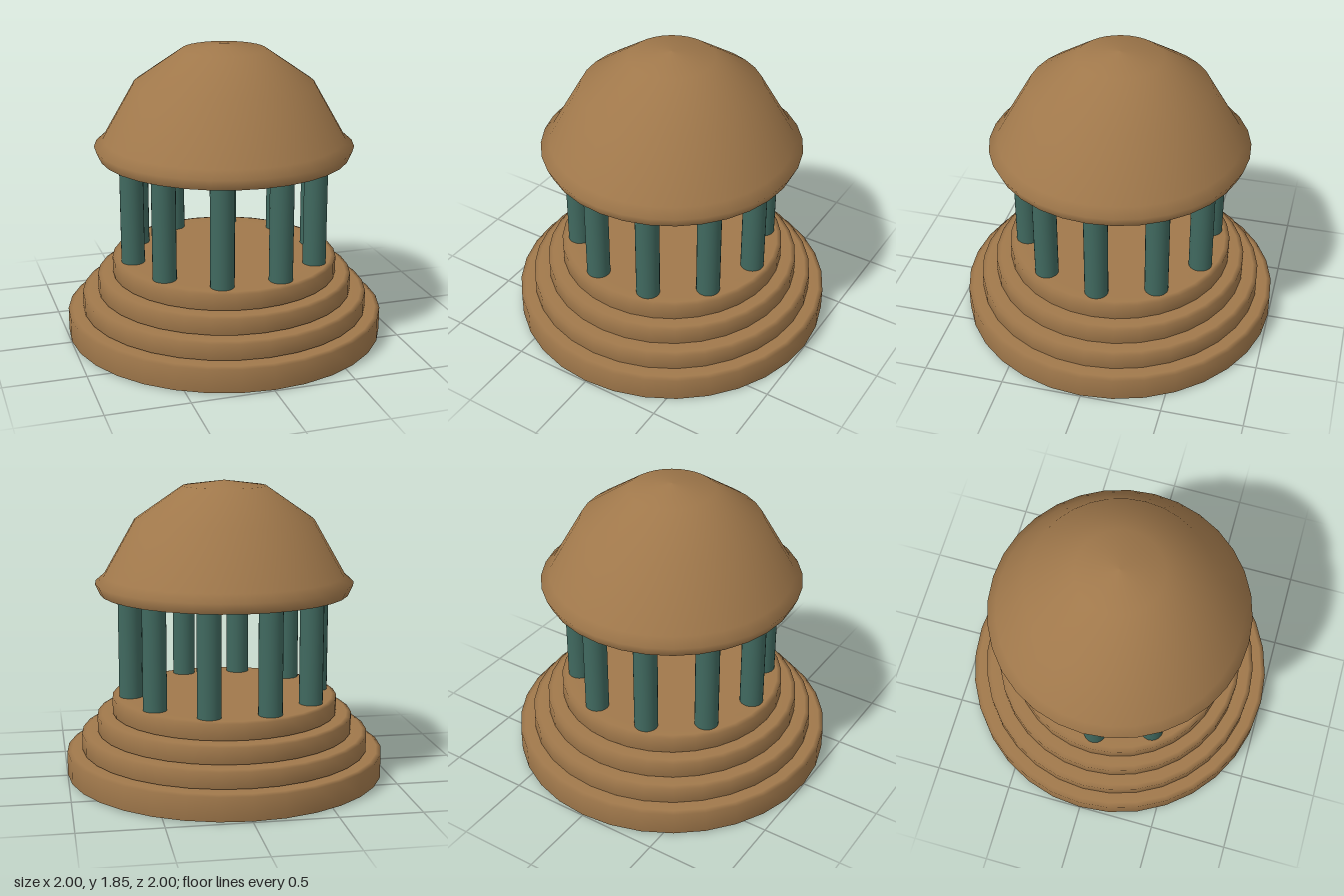
import * as THREE from 'three';

const SIDES = 32;

export function createModel() {
  const model = new THREE.Group();
  model.name = 'pavilion';
  const stone = new THREE.MeshStandardMaterial({ name: 'tan stone', color: 0xa0784b });
  const green = new THREE.MeshStandardMaterial({ name: 'dark green', color: 0x40695f });

  // Adds a round part from a profile of [radius, height] points, bottom to top
  const turn = (name, points, parent) => {
    const profile = points.map(([r, y]) => new THREE.Vector2(r, y));
    const mesh = new THREE.Mesh(new THREE.LatheGeometry(profile, SIDES), stone);
    mesh.name = name;
    parent.add(mesh);
  };

  // Stepped base: four round tiers with softened edges
  const base = new THREE.Group();
  base.name = 'steppedBase';
  model.add(base);
  const tiers = [[1, 0, 0.16], [0.905, 0.16, 0.273], [0.806, 0.273, 0.387], [0.71, 0.387, 0.5]];
  tiers.forEach(([r, y0, y1], i) => {
    turn(`tier${i + 1}`, [
      [r - 0.02, y0], [r, y0 + 0.006], [r, y1 - 0.008], [r - 0.03, y1], [r - 0.12, y1],
    ], base);
  });
  turn('underside', [[0, 0], [0.98, 0]], base);
  turn('floor', [[0.59, 0.5], [0, 0.5]], base);

  // Ring of ten columns
  const columns = new THREE.Group();
  columns.name = 'columns';
  model.add(columns);
  const shaft = new THREE.CylinderGeometry(0.073, 0.073, 0.66, 24);
  for (let i = 0; i < 10; i++) {
    const a = (i / 10) * Math.PI * 2;
    const column = new THREE.Mesh(shaft, green);
    column.name = `column${i + 1}`;
    column.position.set(0.594 * Math.cos(a), 0.825, 0.594 * Math.sin(a));
    columns.add(column);
  }

  // Domed roof with a flared rim and a flat ceiling
  const roof = new THREE.Group();
  roof.name = 'roof';
  model.add(roof);
  turn('dome', [
    [0.775, 1.152], [0.805, 1.218], [0.75, 1.265], [0.556, 1.605], [0.26, 1.81], [0, 1.845],
  ], roof);
  turn('ceiling', [[0, 1.152], [0.775, 1.152]], roof);

  return model;
}
